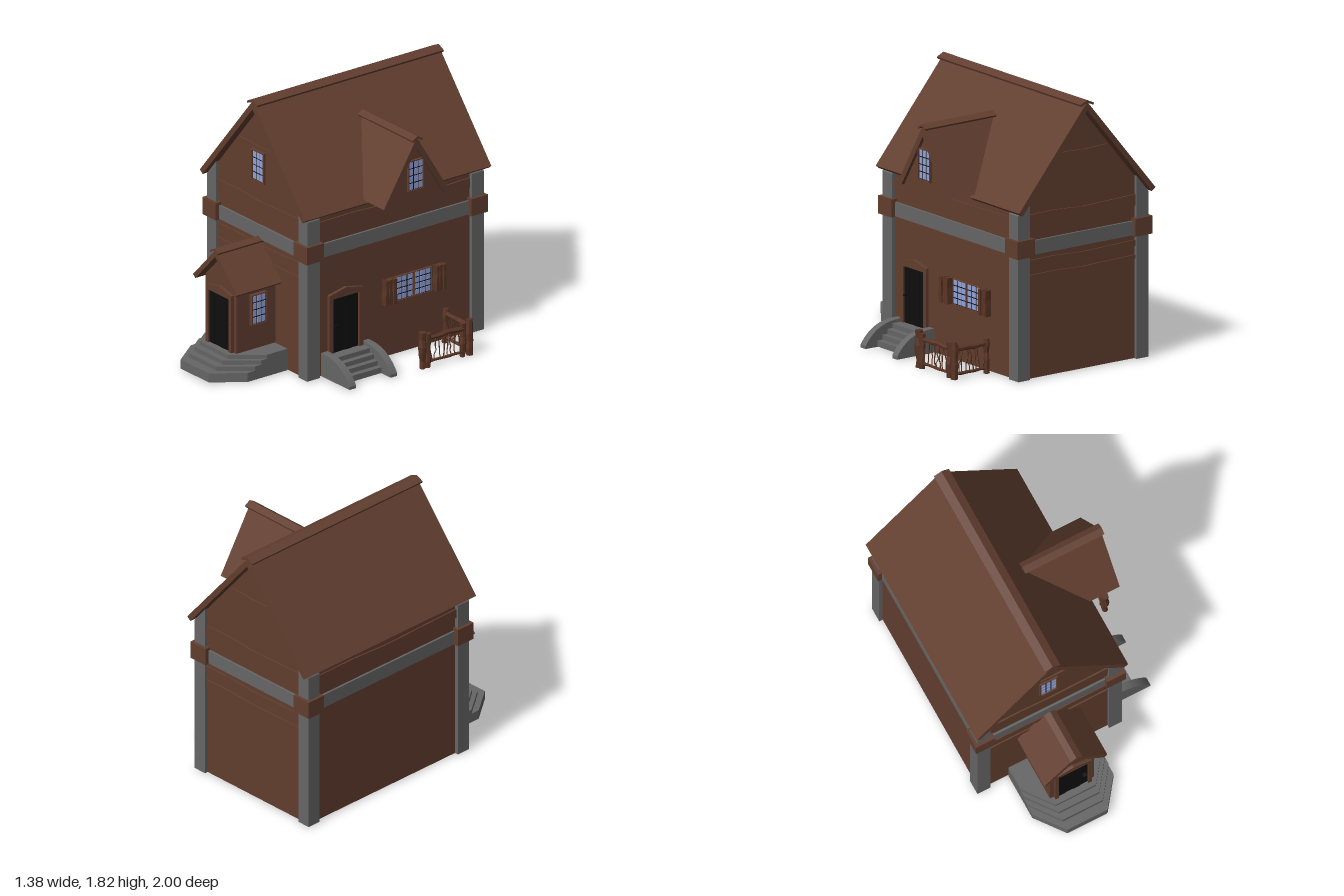
import * as THREE from 'three';

const material = (name, color) => {
  const m = new THREE.MeshStandardMaterial({ color, flatShading: true });
  m.name = name;
  return m;
};
const wood = material('brown wood', 0x623e2f);
const timber = material('dark timber', 0x5a3525);
const stone = material('grey stone', 0x666666);
const black = material('black door', 0x0e0e0e);
const glass = material('pale blue glass', 0x94a3d8);

let seed = 7;
const rand = () => (seed = (seed * 16807) % 2147483647) / 2147483647 - 0.5;

function add(parent, name, geometry, mat) {
  const mesh = new THREE.Mesh(geometry, mat);
  mesh.name = name;
  parent.add(mesh);
  return mesh;
}
function group(parent, name, x = 0, y = 0, z = 0, turn = 0) {
  const g = new THREE.Group();
  g.name = name;
  g.position.set(x, y, z);
  g.rotation.y = turn;
  parent.add(g);
  return g;
}
function box(parent, name, mat, x0, x1, y0, y1, z0, z1) {
  const g = new THREE.BoxGeometry(x1 - x0, y1 - y0, z1 - z0);
  g.translate((x0 + x1) / 2, (y0 + y1) / 2, (z0 + z1) / 2);
  return add(parent, name, g, mat);
}
const shapeOf = (pts) => new THREE.Shape(pts.map((p) => new THREE.Vector2(...p)));
// outline in x/y pushed from z0 to z1
function extrude(parent, name, mat, pts, z0, z1) {
  const shape = pts instanceof THREE.Shape ? pts : shapeOf(pts);
  const g = new THREE.ExtrudeGeometry(shape, { depth: z1 - z0, bevelEnabled: false });
  g.translate(0, 0, z0);
  return add(parent, name, g, mat);
}
// chevron roof: dx, dy lead from the outer to the inner eave corner; cut shortens the right leg
function roof(parent, name, cx, half, top, eave, dx, dy, z0, z1, cut = 0) {
  const slope = (top - eave) / half;
  const thick = dx * slope + dy;
  const r = half - cut, re = eave + cut * slope;
  extrude(parent, name, wood, [
    [cx - half, eave], [cx - half + dx, eave - dy], [cx, top - thick],
    [cx + r - dx, re - dy], [cx + r, re], [cx, top],
  ], z0, z1);
}
// window facing +z with its lower middle at the group origin
function pane(parent, name, x, y, z, w, h, cols, rows, frame) {
  const g = group(parent, name, x, y, z);
  box(g, 'windowBars', black, -w / 2, w / 2, 0, h, 0, 0.008);
  const cw = w / cols, ch = h / rows, b = 0.004;
  for (let i = 0; i < cols; i++) for (let j = 0; j < rows; j++)
    box(g, 'glassPane', glass, -w / 2 + i * cw + b, -w / 2 + (i + 1) * cw - b,
      j * ch + b, (j + 1) * ch - b, 0.008, 0.011);
  if (!frame) return;
  const f = frame, W = w / 2 + f;
  for (const s of [-1, 1]) box(g, 'frameSide', wood, s > 0 ? w / 2 : -W, s > 0 ? W : -w / 2, -f, h + f, 0, 0.018);
  for (const v of [-f, h]) box(g, 'frameRail', wood, -w / 2, w / 2, v, v + f, 0, 0.018);
}
// door facing +z with a peaked surround
function door(parent, name, x, y, z, w, h, f, handleSide) {
  const g = group(parent, name, x, y, z);
  const W = w / 2;
  extrude(g, 'doorFrame', wood, [
    [-W - f, 0], [-W, 0], [-W, h], [W, h], [W, 0], [W + f, 0],
    [W + f, h + 0.03], [0, h + 0.06], [-W - f, h + 0.03],
  ], 0, 0.022);
  for (let i = 0; i < 4; i++)
    box(g, 'doorPlank', black, -W + i * w / 4 + 0.001, -W + (i + 1) * w / 4 - 0.001, 0, h, 0, i % 2 ? 0.008 : 0.011);
  box(g, 'doorHandle', black, handleSide * W * 0.75 - 0.012, handleSide * W * 0.75 + 0.012, h * 0.5 - 0.005, h * 0.5 + 0.005, 0, 0.032);
}
// uneven horizontal wall board
function board(parent, x0, x1, y0, y1, z, dip) {
  const m = (x0 + x1) / 2, q = (x1 - x0) / 4;
  extrude(parent, 'wallBoard', wood, [
    [x0, y0], [x0 + q, y0 + dip / 3], [m, y0 - dip], [x1 - q, y0 + dip / 2], [x1, y0],
    [x1, y1], [x1 - q, y1 - dip / 2], [m, y1 - dip], [x0 + q, y1 + dip / 4], [x0, y1],
  ], z, z + 0.01);
}
// knobbly branch between two points
function branch(parent, name, a, b, r, sides, wobble) {
  const A = new THREE.Vector3(...a), B = new THREE.Vector3(...b);
  const g = new THREE.CylinderGeometry(r, r, A.distanceTo(B), sides, 5);
  const offs = Array.from({ length: 6 }, () => [rand() * wobble, rand() * wobble, 1 + rand() * 0.4]);
  const p = g.attributes.position, len = A.distanceTo(B);
  for (let i = 0; i < p.count; i++) {
    const o = offs[Math.round((p.getY(i) / len + 0.5) * 5)];
    p.setX(i, p.getX(i) * o[2] + o[0]);
    p.setZ(i, p.getZ(i) * o[2] + o[1]);
  }
  g.computeVertexNormals();
  const mesh = add(parent, name, g, timber);
  mesh.position.copy(A).lerp(B, 0.5);
  mesh.quaternion.setFromUnitVectors(new THREE.Vector3(0, 1, 0), B.sub(A).normalize());
}
// twig-filled railing between two ground points
function railing(parent, name, x0, z0, x1, z1) {
  const g = group(parent, name);
  const at = (t, y) => [x0 + (x1 - x0) * t, y, z0 + (z1 - z0) * t];
  for (const t of [0, 1]) branch(g, 'post', at(t, 0.005), at(t, 0.24), 0.02, 7, 0.008);
  branch(g, 'topRail', at(0, 0.205), at(1, 0.205), 0.016, 7, 0.008);
  branch(g, 'bottomRail', at(0, 0.04), at(1, 0.04), 0.01, 6, 0.006);
  for (let i = 1; i < 9; i++)
    branch(g, 'twig', at(i / 9 + rand() * 0.05, 0.04), at(i / 9 + rand() * 0.2, 0.205), 0.004, 5, 0.014);
}

export function createModel() {
  const house = new THREE.Group();
  house.name = 'house';
  const cx = -0.14, SIDE = Math.PI / 2;

  // walls, gables and floor
  extrude(house, 'walls', wood, [
    [cx - 0.505, 0.012], [cx + 0.505, 0.012], [cx + 0.505, 1.148], [cx, 1.75], [cx - 0.505, 1.148],
  ], -0.935, 0.465);
  box(house, 'stoneBand', stone, cx - 0.52, cx + 0.52, 0.84, 0.935, -0.95, 0.48);

  // corner pillars with wooden collars
  for (const s of [-1, 1]) for (const [z0, z1] of [[0.385, 0.487], [-0.957, -0.86]]) {
    const pts = [[0.435, 0.01], [0.53, 0.01], [0.53, 1.12], [0.435, 1.235]].map(([x, y]) => [cx + s * x, y]);
    extrude(house, 'cornerPillar', stone, pts, z0, z1);
    const a = cx + s * 0.41, b = cx + s * 0.55;
    box(house, 'pillarCollar', wood, Math.min(a, b), Math.max(a, b), 0.835, 0.955, z0 - 0.02, z1 + 0.02);
  }

  // main roof, notched on the right beneath the dormer
  for (const [z0, z1, cut] of [[-1, -0.475, 0], [-0.475, 0.005, 0.035], [0.005, 0.525, 0]])
    roof(house, 'mainRoof', cx, 0.555, 1.81, 1.15, 0.03, 0.022, z0, z1, cut);
  roof(house, 'ridgeCap', cx, 0.055, 1.822, 1.797, 0.006, 0.014, -1, 0.528);

  // uneven boards on the walls
  const faces = [
    group(house, 'frontBoards', cx, 0, 0.465),
    group(house, 'backBoards', cx, 0, -0.935, Math.PI),
  ];
  for (const f of faces) {
    board(f, -0.435, 0.435, 1.035, 1.11, 0, 0.012);
    board(f, -0.2, 0.2, 1.46, 1.485, 0, 0.006);
    board(f, -0.435, 0.435, 0.765, 0.805, 0, 0.01);
    board(f, -0.435, 0.435, 0.68, 0.705, 0, 0.008);
  }
  board(group(house, 'rightBoards', cx + 0.505, 0, -0.235, SIDE), -0.62, 0.62, 1.025, 1.09, 0, 0.012);
  board(group(house, 'leftBoards', cx - 0.505, 0, -0.235, -SIDE), -0.62, 0.62, 1.025, 1.09, 0, 0.012);
  pane(house, 'gableWindow', -0.143, 1.24, 0.466, 0.115, 0.2, 3, 4, 0.008);

  // front porch
  const px = -0.135;
  extrude(house, 'porchWalls', wood, [
    [px - 0.162, 0.05], [px + 0.162, 0.05], [px + 0.162, 0.62], [px, 0.787], [px - 0.162, 0.62],
  ], 0.46, 0.785);
  roof(house, 'porchRoof', px, 0.232, 0.845, 0.605, 0.025, 0.02, 0.46, 0.835);
  roof(house, 'porchRidgeCap', px, 0.042, 0.86, 0.838, 0.005, 0.012, 0.46, 0.845);
  door(house, 'frontDoor', px, 0.16, 0.785, 0.216, 0.37, 0.026, 1);
  const porchSide = group(house, 'porchSide', 0.04, 0, 0, SIDE);
  box(porchSide, 'windowBacking', wood, -0.68, -0.555, 0.34, 0.55, -0.016, 0);
  pane(porchSide, 'porchWindow', -0.618, 0.345, 0, 0.113, 0.2, 3, 4, 0.006);

  // front steps, each layer set back from the one below
  [[0.012, 0.075, 1], [0.075, 0.105, 0.935], [0.105, 0.135, 0.885], [0.135, 0.162, 0.84]].forEach(([y0, y1, zf]) => {
    const m = extrude(house, 'frontStep', stone, [
      [-0.435, -0.47], [-0.435, -zf + 0.2], [-0.285, -zf], [0.01, -zf], [0.16, -zf + 0.2], [0.16, -0.47],
    ].reverse(), y0, y1);
    m.rotation.x = -Math.PI / 2;
  });

  // right wall door, window and shutters, drawn facing +z then turned to face +x
  const right = group(house, 'rightWall', 0.366, 0, 0, SIDE);
  door(right, 'sideDoor', -0.165, 0.15, 0, 0.212, 0.38, 0.032, -1);
  for (const x of [0.317, 0.467]) pane(right, 'sideWindow', x, 0.385, 0, 0.14, 0.165, 3, 4, 0.004);
  for (const [x0, x1] of [[0.14, 0.235], [0.555, 0.64]]) for (let i = 0; i < 3; i++) {
    const w = (x1 - x0) / 3, a = x0 + i * w + 0.002, b = a + w - 0.004, k = rand() * 0.01;
    extrude(right, 'shutterPlank', timber, [
      [a, 0.382 + k / 2], [b, 0.38], [b + k / 2, 0.44], [b - 0.004, 0.49], [b, 0.555 + k / 2],
      [a, 0.555 - k / 2], [a + 0.004, 0.5], [a + k / 2, 0.44],
    ], 0, 0.046 - 0.006 * (i % 2));
  }

  // side steps between curved cheek walls
  for (let i = 0; i < 4; i++)
    box(house, 'sideStep', stone, 0.36, 0.45 + i * 0.04, 0.012, 0.148 - i * 0.032, 0.01, 0.31);
  for (const [z0, z1] of [[0.303, 0.357], [-0.033, 0.02]]) {
    const cheek = new THREE.Shape().moveTo(0.36, 0.01).lineTo(0.667, 0.01).lineTo(0.667, 0.03);
    cheek.bezierCurveTo(0.61, 0.12, 0.52, 0.17, 0.4, 0.17);
    cheek.lineTo(0.36, 0.17);
    extrude(house, 'stepCheek', stone, cheek, z0, z1);
  }

  // dormer, drawn facing +z then turned to face +x
  const dormer = group(house, 'dormer', 0, 0, 0, SIDE);
  extrude(dormer, 'dormerWall', wood, [[0.235 - 0.228, 1.172], [0.235 + 0.228, 1.172], [0.235, 1.54]], 0.05, 0.592);
  roof(dormer, 'dormerRoof', 0.235, 0.27, 1.61, 1.17, 0.045, 0, 0.04, 0.615);
  roof(dormer, 'dormerRidgeCap', 0.235, 0.042, 1.623, 1.598, 0.005, 0.012, 0.045, 0.625);
  pane(dormer, 'dormerWindow', 0.237, 1.245, 0.592, 0.115, 0.2, 3, 4, 0.008);

  // rustic railing
  const fence = group(house, 'railings');
  railing(fence, 'backRailing', 0.4, -0.635, 0.655, -0.632);
  railing(fence, 'sideRailing', 0.66, -0.575, 0.658, -0.29);
  branch(fence, 'endPost', [0.655, 0.005, -0.25], [0.655, 0.255, -0.25], 0.025, 7, 0.008);
  branch(fence, 'cornerPost', [0.66, 0.005, -0.63], [0.66, 0.255, -0.63], 0.024, 7, 0.008);
  return house;
}
